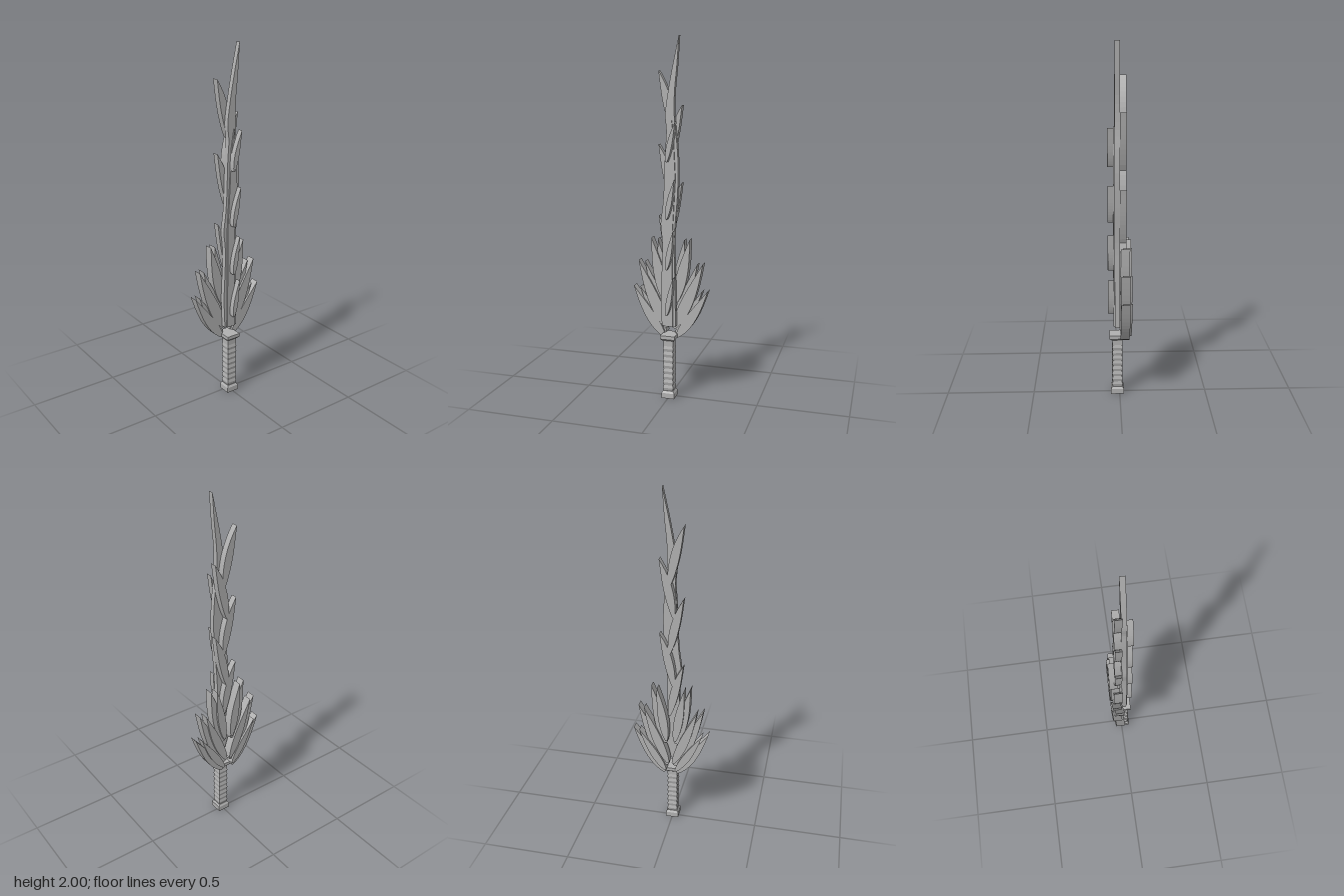
import * as THREE from 'three';

const steel = new THREE.MeshStandardMaterial({ color: 0xb0b0b0, flatShading: true });
steel.name = 'grey steel';

// Flat plate cut from an outline, spanning z0 to z1
function plate(name, outline, z0, z1) {
  const shape = new THREE.Shape(outline);
  const geometry = new THREE.ExtrudeGeometry(shape, { depth: z1 - z0, bevelEnabled: false });
  geometry.translate(0, 0, z0);
  const mesh = new THREE.Mesh(geometry, steel);
  mesh.name = name;
  return mesh;
}

// Curved pointed tongue around a centre line; side = -1 mirrors it in x
function tongue(name, points, width, z0, z1, side = 1, root = 0.3) {
  const curve = new THREE.QuadraticBezierCurve(
    ...points.map(([x, y]) => new THREE.Vector2(x * side, y)));
  const leftEdge = [], rightEdge = [], n = 12;
  for (let i = 0; i <= n; i++) {
    const t = i / n, p = curve.getPoint(t), d = curve.getTangent(t);
    const half = 0.5 * width * (Math.sin(Math.PI * Math.pow(t, 0.8)) * 0.95 + root * (1 - t));
    leftEdge.push(new THREE.Vector2(p.x - d.y * half, p.y + d.x * half));
    if (i < n) rightEdge.push(new THREE.Vector2(p.x + d.y * half, p.y - d.x * half));
  }
  return plate(name, [...rightEdge, ...leftEdge.reverse()], z0, z1);
}

// Square block with separate top and bottom half widths
function block(name, bottom, top, y0, y1, depthScale = 1, z = 0.013) {
  const geometry = new THREE.CylinderGeometry(top * Math.SQRT2, bottom * Math.SQRT2, y1 - y0, 4);
  geometry.rotateY(Math.PI / 4);
  geometry.scale(1, 1, depthScale);
  geometry.translate(0, (y0 + y1) / 2, z);
  const mesh = new THREE.Mesh(geometry, steel);
  mesh.name = name;
  return mesh;
}

export function createModel() {
  const model = new THREE.Group();
  model.name = 'flameSword';

  // Square grip with shallow ribs
  const grip = new THREE.Group();
  grip.name = 'grip';
  grip.add(block('pommel', 0.037, 0.037, 0, 0.03));
  grip.add(block('pommelBevel', 0.037, 0.029, 0.03, 0.042));
  const ribs = 8, pitch = 0.033;
  for (let i = 0; i < ribs; i++) {
    const y = 0.042 + i * pitch;
    grip.add(block('ribLower', 0.026, 0.03, y, y + pitch / 2));
    grip.add(block('ribUpper', 0.03, 0.026, y + pitch / 2, y + pitch));
  }
  grip.add(block('gripTop', 0.028, 0.028, 0.306, 0.346));
  grip.add(block('guardBevel', 0.034, 0.042, 0.34, 0.35, 1.15, 0.008));
  grip.add(block('guard', 0.042, 0.042, 0.35, 0.37, 1.2, 0.007));
  model.add(grip);

  // Wavy main blade
  const leftSide = [[-0.04, 0.42], [-0.046, 0.6], [-0.038, 0.78], [-0.037, 0.9], [-0.046, 1.0],
    [-0.034, 1.1], [-0.026, 1.22], [-0.021, 1.38], [-0.013, 1.5], [-0.02, 1.58], [-0.012, 1.66], [0.016, 1.82]];
  const rightSide = [[0.04, 0.42], [0.036, 0.6], [0.034, 0.75], [0.03, 0.88], [0.036, 1.0],
    [0.048, 1.14], [0.053, 1.3], [0.045, 1.44], [0.032, 1.55], [0.031, 1.7], [0.044, 1.84]];
  const spline = (list) => new THREE.SplineCurve(
    [...list, [0.055, 2]].map(([x, y]) => new THREE.Vector2(x, y))).getPoints(36);
  model.add(plate('blade', [...spline(rightSide), ...spline(leftSide).reverse().slice(1)], 0, 0.028));

  // Raised ridge on the blade front
  const ridge = [[0.025, 0.42], [0.022, 0.7], [0.022, 0.95], [0.038, 1.25], [0.028, 1.45], [0.018, 1.56],
    [0.0, 1.45], [-0.01, 1.25], [-0.025, 1.0], [-0.025, 0.75], [-0.028, 0.42]];
  model.add(plate('bladeRidge', ridge.map(([x, y]) => new THREE.Vector2(x, y)), 0.027, 0.035));

  // Small flames on the blade front
  for (const [y, x] of [[0.49, 0.034], [0.75, 0.034], [1.03, 0.04], [1.34, 0.045]]) {
    model.add(tongue('frontFlame', [[-0.004, y], [0.012, y + 0.1], [x, y + 0.215]], 0.025, 0.033, 0.066));
  }

  // Alternating flames curling out behind the blade
  const backFlames = [[1.82, -1], [1.64, 1], [1.43, -1], [1.225, 1], [1.04, -1]];
  for (const [y, side] of backFlames) {
    model.add(tongue('backFlame', [[-0.012, y - 0.32], [0.02, y - 0.12], [0.066, y]], 0.042, -0.037, 0, side));
  }

  // Mirrored fans of doubled leaves at the blade root
  const leaves = [
    [[[0.035, 0.35], [0.125, 0.46], [0.215, 0.63]], 0.05],
    [[[0.02, 0.4], [0.105, 0.56], [0.185, 0.78]], 0.06],
    [[[0.03, 0.55], [0.07, 0.72], [0.11, 0.912]], 0.055],
  ];
  for (const side of [1, -1]) {
    const fan = new THREE.Group();
    fan.name = side > 0 ? 'leftLeaves' : 'rightLeaves';
    for (const [points, width] of leaves) {
      fan.add(tongue('outerLeaf', points, width, -0.054, -0.003, side));
      const inner = points.map(([x, y], i) => [x - [0.006, 0.02, 0.034][i], y + [0.02, 0.02, -0.006][i]]);
      fan.add(tongue('innerLeaf', inner, width * 0.8, -0.066, -0.015, side));
    }
    model.add(fan);
  }
  return model;
}
